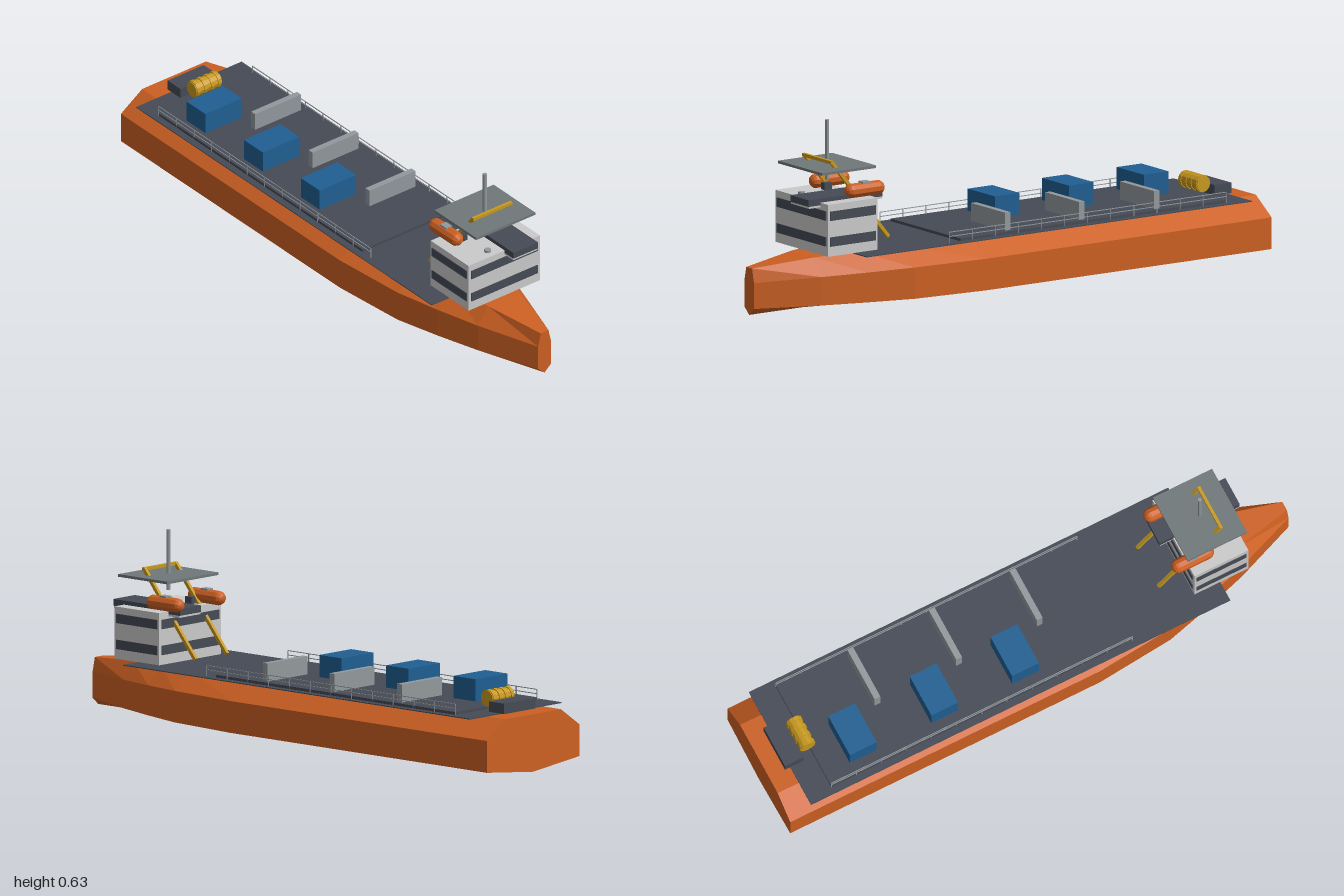
import * as THREE from 'three';

const mat = (name, color, extra = {}) => {
  const m = new THREE.MeshStandardMaterial({ color, flatShading: true, ...extra });
  m.name = name;
  return m;
};

export function createModel() {
  const orange = mat('hull orange', 0xcc6022);
  const navy = mat('deck slate', 0x454a55);
  const white = mat('house light grey', 0xcacaca);
  const grey = mat('steel grey', 0x92989c);
  const slab = mat('platform grey', 0x6f7779);
  const blue = mat('container blue', 0x1f5f92);
  const yellow = mat('crane yellow', 0xc8991f);

  const ship = new THREE.Group();
  ship.name = 'cargoShip';

  const add = (name, geo, material, x = 0, y = 0, z = 0) => {
    const m = new THREE.Mesh(geo, material);
    m.name = name;
    m.position.set(x, y, z);
    ship.add(m);
    return m;
  };
  // Box given by its limits on each axis
  const box = (name, material, [x0, x1], [y0, y1], [z0, z1]) =>
    add(name, new THREE.BoxGeometry(x1 - x0, y1 - y0, z1 - z0), material,
      (x0 + x1) / 2, (y0 + y1) / 2, (z0 + z1) / 2);
  // Square bar between two points
  const bar = (name, material, a, b, size) => {
    const p = new THREE.Vector3(...a), q = new THREE.Vector3(...b);
    const m = add(name, new THREE.BoxGeometry(size, size, p.distanceTo(q)), material);
    m.position.copy(p).add(q).multiplyScalar(0.5);
    m.lookAt(q);
    return m;
  };

  // Hull: lofted stations [x, half width, knuckle height, top height]
  const stations = [
    [-1, 0.23, 0.134, 0.197],
    [0.18, 0.23, 0.134, 0.197],
    [0.46, 0.204, 0.133, 0.196],
    [0.62, 0.162, 0.128, 0.191],
    [0.78, 0.113, 0.123, 0.183],
    [1, 0.028, 0.114, 0.163],
  ];
  const rings = stations.map(([x, w, k, t]) => [
    [x, 0, 0], [x, 0.025, -w], [x, k, -w], [x, t, -0.6 * w],
    [x, t, 0.6 * w], [x, k, w], [x, 0.025, w],
  ]);
  const pos = [];
  const tri = (...pts) => pts.forEach((p) => pos.push(...p));
  const n = rings[0].length;
  for (let i = 0; i < rings.length - 1; i++) {
    for (let j = 0; j < n; j++) {
      const a = rings[i][j], b = rings[i][(j + 1) % n];
      const c = rings[i + 1][(j + 1) % n], d = rings[i + 1][j];
      tri(a, b, c);
      tri(a, c, d);
    }
  }
  const bow = rings[rings.length - 1], stern = rings[0];
  for (let j = 1; j < n - 1; j++) {
    tri(bow[0], bow[j], bow[j + 1]);
    tri(stern[0], stern[j + 1], stern[j]);
  }
  const hullGeo = new THREE.BufferGeometry();
  hullGeo.setAttribute('position', new THREE.Float32BufferAttribute(pos, 3));
  hullGeo.computeVertexNormals();
  add('hull', hullGeo, orange);

  // Decks
  box('mainDeck', navy, [-0.92, 0.675], [0.1975, 0.2005], [-0.228, 0.228]);
  box('cargoDeck', navy, [-0.83, 0.27], [0.2, 0.21], [-0.203, 0.203]);

  // Cargo containers and dividing walls
  for (const x of [-0.685, -0.375, -0.068]) {
    box('container', blue, [x - 0.051, x + 0.051], [0.21, 0.286], [0, 0.158]);
  }
  for (const x of [-0.556, -0.246, 0.061]) {
    box('dividingWall', grey, [x - 0.011, x + 0.011], [0.21, 0.272], [-0.185, 0.014]);
  }

  // Stern winch: ribbed drum and its base
  const drum = add('winchDrum', new THREE.CylinderGeometry(0.027, 0.027, 0.11, 12), yellow, -0.84, 0.24, -0.003);
  drum.rotation.x = Math.PI / 2;
  for (const z of [-0.048, -0.018, 0.012, 0.042]) {
    const rib = add('winchRib', new THREE.CylinderGeometry(0.03, 0.03, 0.014, 12), yellow, -0.84, 0.24, z);
    rib.rotation.x = Math.PI / 2;
  }
  box('winchBase', navy, [-0.94, -0.87], [0.2, 0.236], [-0.08, 0.076]);

  // Guard rails on both sides
  for (const z of [-0.203, 0.203]) {
    for (const y of [0.222, 0.237]) bar('guardRail', grey, [-0.83, y, z], [0.315, y, z], 0.0025);
    for (let i = 0; i <= 12; i++) {
      const x = -0.83 + (i * 1.145) / 12;
      bar('railPost', grey, [x, 0.2, z], [x, 0.237, z], 0.0025);
    }
  }

  // Deckhouse with window bands on all four faces
  box('deckhouse', white, [0.577, 0.782], [0.2, 0.379], [-0.154, 0.154]);
  for (const y of [0.25, 0.339]) {
    const h = [y - 0.016, y + 0.016];
    for (const x of [0.576, 0.783]) box('endWindows', navy, [x - 0.002, x + 0.002], h, [-0.143, 0.143]);
    for (const z of [-0.1545, 0.1545]) box('sideWindows', navy, [0.585, 0.774], h, [z - 0.002, z + 0.002]);
  }

  // Roof fittings
  box('roofWing', navy, [0.525, 0.83], [0.37, 0.393], [-0.108, -0.002]);
  box('roofWingFloor', white, [0.527, 0.828], [0.363, 0.37], [-0.108, -0.002]);
  box('roofLocker', navy, [0.62, 0.65], [0.379, 0.403], [0.053, 0.074]);
  add('roofHatch', new THREE.CylinderGeometry(0.012, 0.012, 0.009, 12), grey, 0.75, 0.383, 0.046);

  // Lifeboats and sloping davit frame
  for (const z of [-0.103, 0.103]) {
    const boat = add('lifeboat', new THREE.CapsuleGeometry(0.025, 0.108, 4, 10), orange, 0.596, 0.403, z);
    boat.rotation.z = Math.PI / 2;
    box('lifeboatHatch', grey, [0.58, 0.612], [0.425, 0.431], [z - 0.013, z + 0.013]);
    const s = Math.sign(z) * 0.078;
    bar('davitArm', yellow, [0.48, 0.222, s], [0.716, 0.507, s], 0.012);
  }
  bar('davitCrossbar', yellow, [0.716, 0.505, -0.084], [0.716, 0.505, 0.084], 0.011);

  // Radar platform and mast
  box('radarPlatform', slab, [0.565, 0.79], [0.476, 0.485], [-0.128, 0.128]);
  add('mast', new THREE.CylinderGeometry(0.007, 0.007, 0.206, 8), grey, 0.677, 0.532, 0);

  return ship;
}
